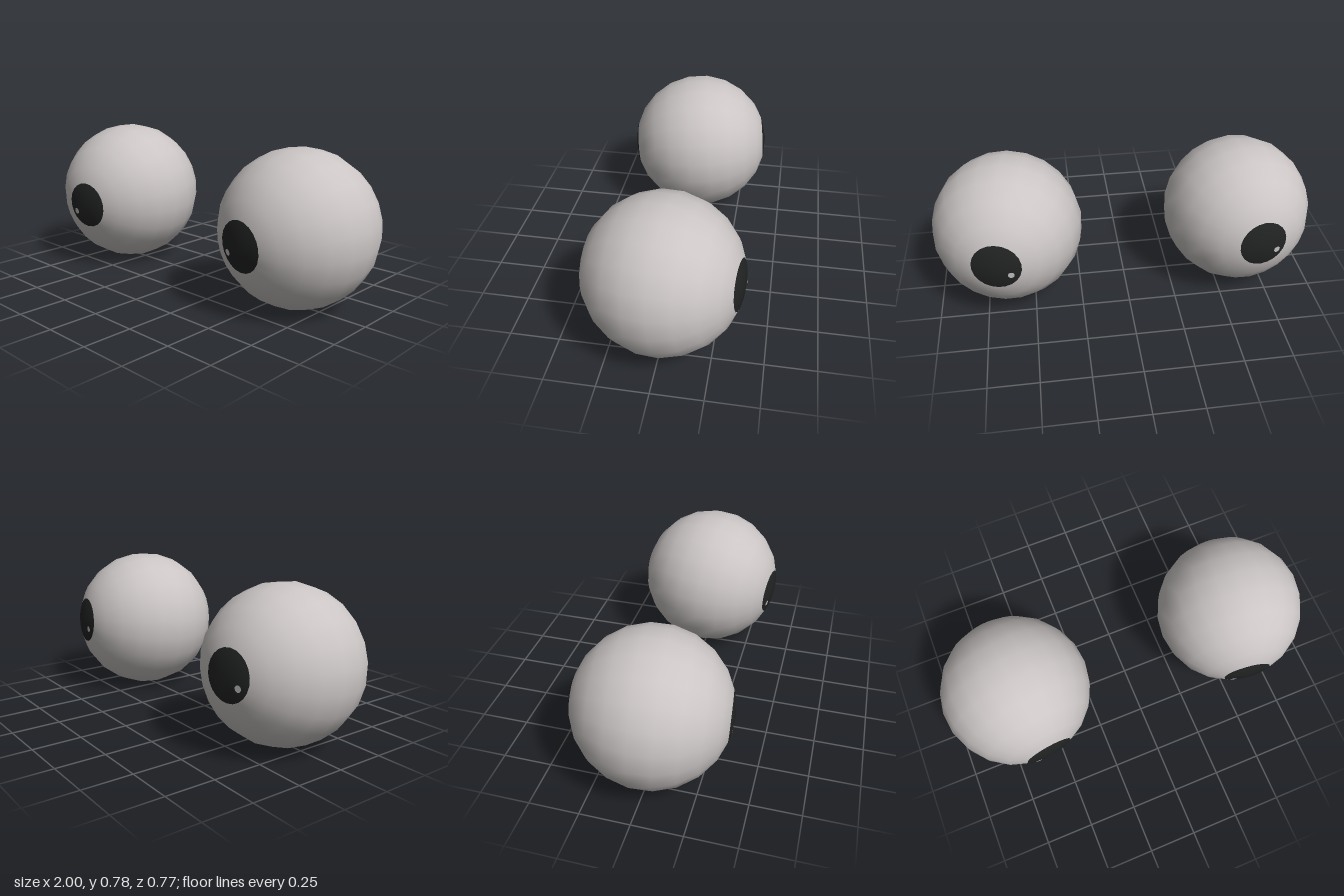
import * as THREE from 'three';

const R = 0.389;            // eyeball radius
const RINGS = 11, SIDES = 22;
const PUPIL_R = 0.124;

const eyeWhite = new THREE.MeshStandardMaterial({ color: 0xcbc6c5 });
eyeWhite.name = 'eyeWhite';
const pupilBlack = new THREE.MeshStandardMaterial({ color: 0x222323 });
pupilBlack.name = 'pupilBlack';
const glintGrey = new THREE.MeshStandardMaterial({ color: 0xc2c2c2 });
glintGrey.name = 'glintGrey';

// Point of the ball's profile on ring k, counted from the lower pole
function ringPoint(k) {
  const a = (k * Math.PI) / RINGS;
  return new THREE.Vector2(Math.max(0, R * Math.sin(a)), -R * Math.cos(a));
}

// Turned surface with round normals, its axis laid along z
function turned(points) {
  const geo = new THREE.LatheGeometry(points, SIDES);
  const pos = geo.attributes.position, v = new THREE.Vector3();
  for (let i = 0; i < pos.count; i++) {
    v.fromBufferAttribute(pos, i).normalize();
    geo.attributes.normal.setXYZ(i, v.x, v.y, v.z);
  }
  return geo.rotateX(Math.PI / 2);
}

function named(geo, material, name) {
  const mesh = new THREE.Mesh(geo, material);
  mesh.name = name;
  return mesh;
}

function createEye(name, x, yaw) {
  const eye = new THREE.Group();
  eye.name = name;

  // The rim of the pupil lies between the first and second ring
  const r1 = ringPoint(1), r2 = ringPoint(2);
  const rim = r1.clone().lerp(r2, (PUPIL_R - r1.x) / (r2.x - r1.x));
  const flip = (p) => new THREE.Vector2(p.x, -p.y);

  // Eyeball between the two pupils
  const profile = [rim];
  for (let k = 2; k <= RINGS - 2; k++) profile.push(ringPoint(k));
  profile.push(flip(rim));
  eye.add(named(turned(profile), eyeWhite, 'eyeball'));

  // Pupils at both poles
  const cap = [ringPoint(0), r1, rim];
  eye.add(named(turned(cap), pupilBlack, 'backPupil'));
  eye.add(named(turned(cap.map(flip).reverse()), pupilBlack, 'frontPupil'));

  // Small glints resting on the pupils
  const gx = -0.071, gy = -0.04, gr = Math.hypot(gx, gy);
  const height = R + (-r1.y - R) * (gr / r1.x);
  const tilt = Math.PI / RINGS / 2;
  for (const side of [1, -1]) {
    const normal = new THREE.Vector3(
      (gx / gr) * Math.sin(tilt), (gy / gr) * Math.sin(tilt), side * Math.cos(tilt));
    const glint = named(new THREE.CircleGeometry(0.017, 10), glintGrey,
      side > 0 ? 'frontGlint' : 'backGlint');
    glint.position.set(gx, gy, side * height).addScaledVector(normal, 0.003);
    glint.quaternion.setFromUnitVectors(new THREE.Vector3(0, 0, 1), normal);
    eye.add(glint);
  }

  eye.position.set(x, R + 0.003, 0);
  eye.rotation.set(0.065, yaw, 0, 'YXZ');
  return eye;
}

export function createModel() {
  const model = new THREE.Group();
  model.name = 'eyes';
  model.add(createEye('leftEye', 0.613, -0.148));
  model.add(createEye('rightEye', -0.613, 0.135));
  return model;
}
